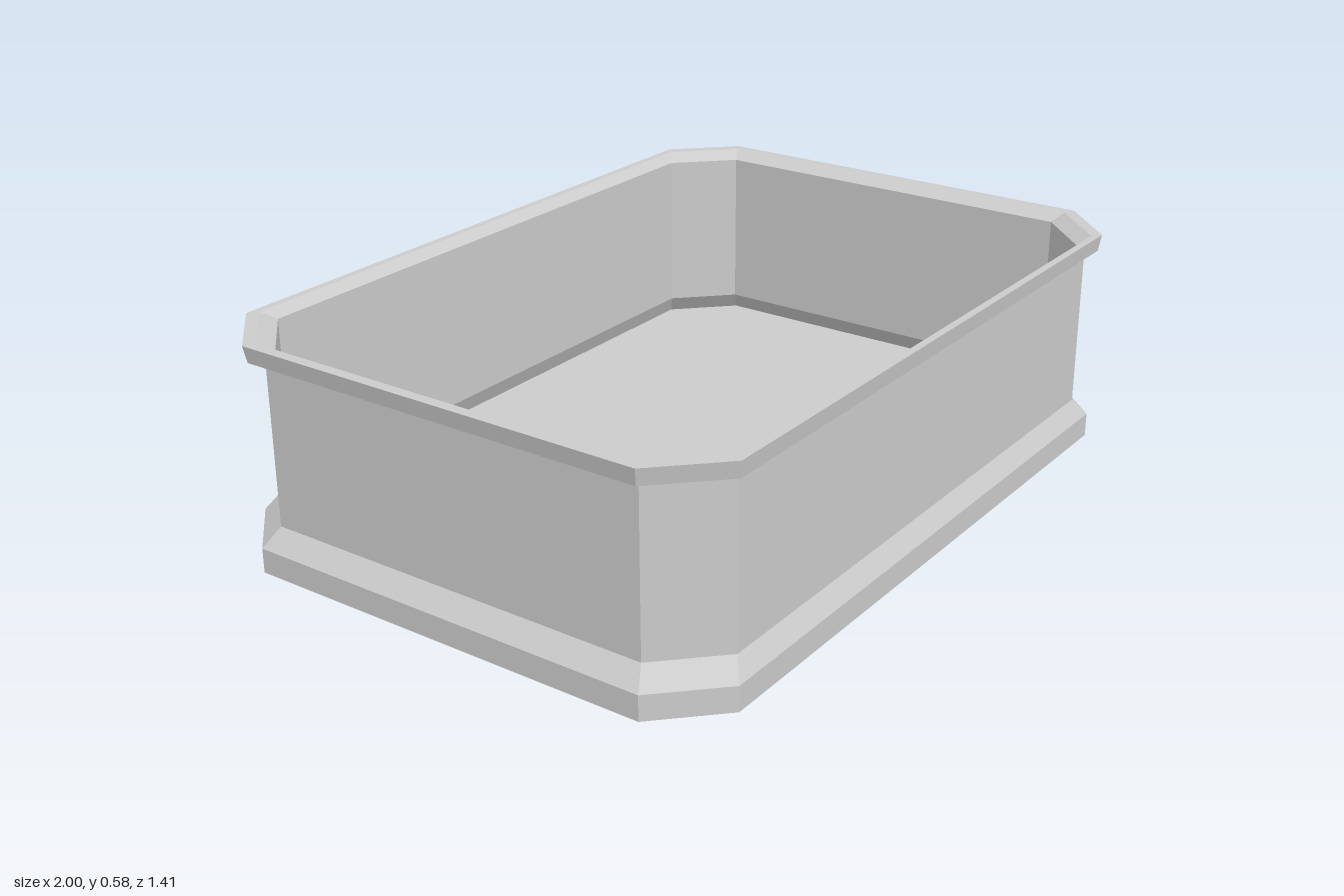
import * as THREE from 'three';

// Outline with clipped corners, counter-clockwise seen from above
const OUTLINE = [
  [1, 0.555], [1, -0.555], [0.85, -0.705], [-0.85, -0.705],
  [-1, -0.555], [-1, 0.555], [-0.85, 0.705], [0.85, 0.705],
];

// Sweeps a profile of [outline scale, height] steps around the outline
function sweep(name, profile, material) {
  const positions = [];
  const point = (i, [s, y]) => {
    const [x, z] = OUTLINE[i % OUTLINE.length];
    return [x * s, y, z * s];
  };
  for (let k = 0; k < profile.length - 1; k++) {
    const low = profile[k], high = profile[k + 1];
    for (let i = 0; i < OUTLINE.length; i++) {
      const a = point(i, low), b = point(i + 1, low);
      const c = point(i, high), d = point(i + 1, high);
      if (low[0] > 0) positions.push(...a, ...b, ...d);
      if (high[0] > 0) positions.push(...a, ...d, ...c);
    }
  }
  const geometry = new THREE.BufferGeometry();
  geometry.setAttribute('position', new THREE.Float32BufferAttribute(positions, 3));
  geometry.computeVertexNormals();
  const mesh = new THREE.Mesh(geometry, material);
  mesh.name = name;
  return mesh;
}

export function createModel() {
  const group = new THREE.Group();
  group.name = 'openTray';
  const material = new THREE.MeshStandardMaterial({ color: 0xcccccc, flatShading: true });

  group.add(
    // Underside, plinth and its sloped shoulder
    sweep('base', [[0, 0], [1, 0], [1, 0.064], [0.957, 0.112]], material),
    sweep('outerWall', [[0.957, 0.112], [0.957, 0.524]], material),
    // Flared lip with a bevel falling to the inside
    sweep('rim', [[0.957, 0.524], [0.992, 0.537], [1, 0.58], [0.972, 0.58], [0.935, 0.558]], material),
    sweep('innerWall', [[0.935, 0.558], [0.935, 0.125]], material),
    // Undercut widening into the base, then the floor
    sweep('floor', [[0.935, 0.125], [0.967, 0.075], [0, 0.075]], material),
  );
  return group;
}
